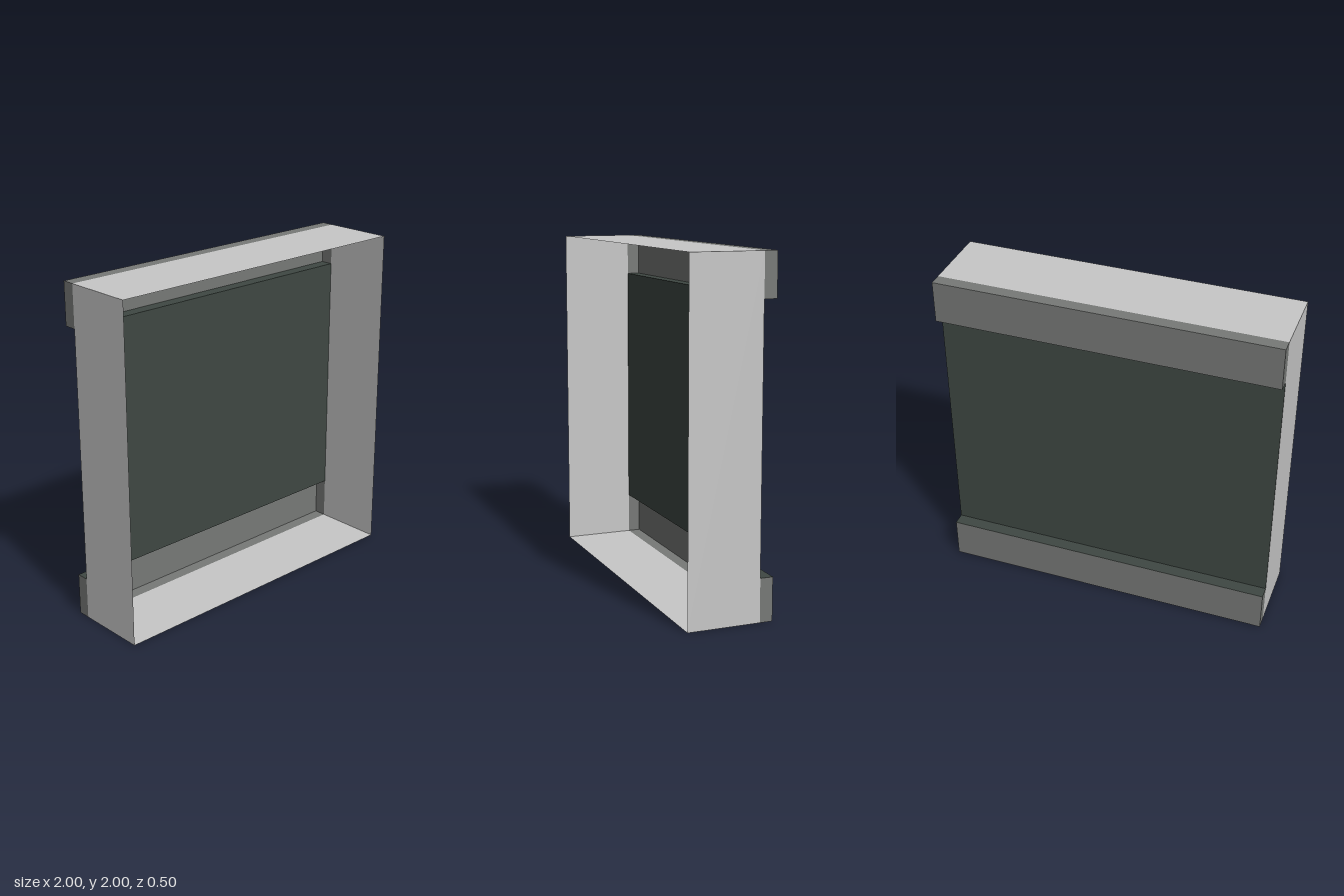
import * as THREE from 'three';

const flat = (name, color) => {
  const m = new THREE.MeshStandardMaterial({ color, side: THREE.DoubleSide });
  m.name = name;
  return m;
};

// Thin sheet of size w x h, turned by rx / ry and placed at x, y, z
function sheet(name, material, w, h, [x, y, z], rx = 0, ry = 0) {
  const mesh = new THREE.Mesh(new THREE.PlaneGeometry(w, h), material);
  mesh.name = name;
  mesh.position.set(x, y, z);
  mesh.rotation.set(rx, ry, 0);
  return mesh;
}

export function createModel() {
  const paleGrey = flat('paleGrey', 0xc8c8c8);
  const midGrey = flat('midGrey', 0x777977);
  const darkGreen = flat('darkGreen', 0x3f4843);
  const model = new THREE.Group();
  model.name = 'framedPanel';

  const front = 0.25, seam = -0.175, back = -0.25, railH = 0.25, Q = Math.PI / 2;
  const depth = front - seam, midZ = (front + seam) / 2;
  const railD = seam - back, railZ = (seam + back) / 2;

  // Open surround: two sides, floor and ceiling
  const frame = new THREE.Group();
  frame.name = 'frame';
  for (const s of [-1, 1]) {
    frame.add(sheet(s > 0 ? 'leftWall' : 'rightWall', paleGrey, depth, 2, [s, 1, midZ], 0, s * Q));
    frame.add(sheet(s > 0 ? 'ceiling' : 'floor', paleGrey, 2, depth, [0, 1 + s, midZ], -s * Q));
  }
  model.add(frame);

  // Recessed panel between the rails
  model.add(sheet('panel', darkGreen, 2, 2 - 2 * railH, [0, 1, seam], 0, Math.PI));

  // Hollow rails across the back, open towards the front
  for (const s of [-1, 1]) {
    const rail = new THREE.Group();
    rail.name = s > 0 ? 'topRail' : 'bottomRail';
    const y = 1 + s * (1 - railH / 2);
    rail.add(sheet('railBack', midGrey, 2, railH, [0, y, back], 0, Math.PI));
    rail.add(sheet('railOuterEdge', midGrey, 2, railD, [0, 1 + s, railZ], -s * Q));
    rail.add(sheet('railLedge', darkGreen, 2, railD, [0, 1 + s * (1 - railH), railZ], s * Q));
    for (const e of [-1, 1]) rail.add(sheet('railEnd', midGrey, railD, railH, [e, y, railZ], 0, e * Q));
    model.add(rail);
  }
  return model;
}
